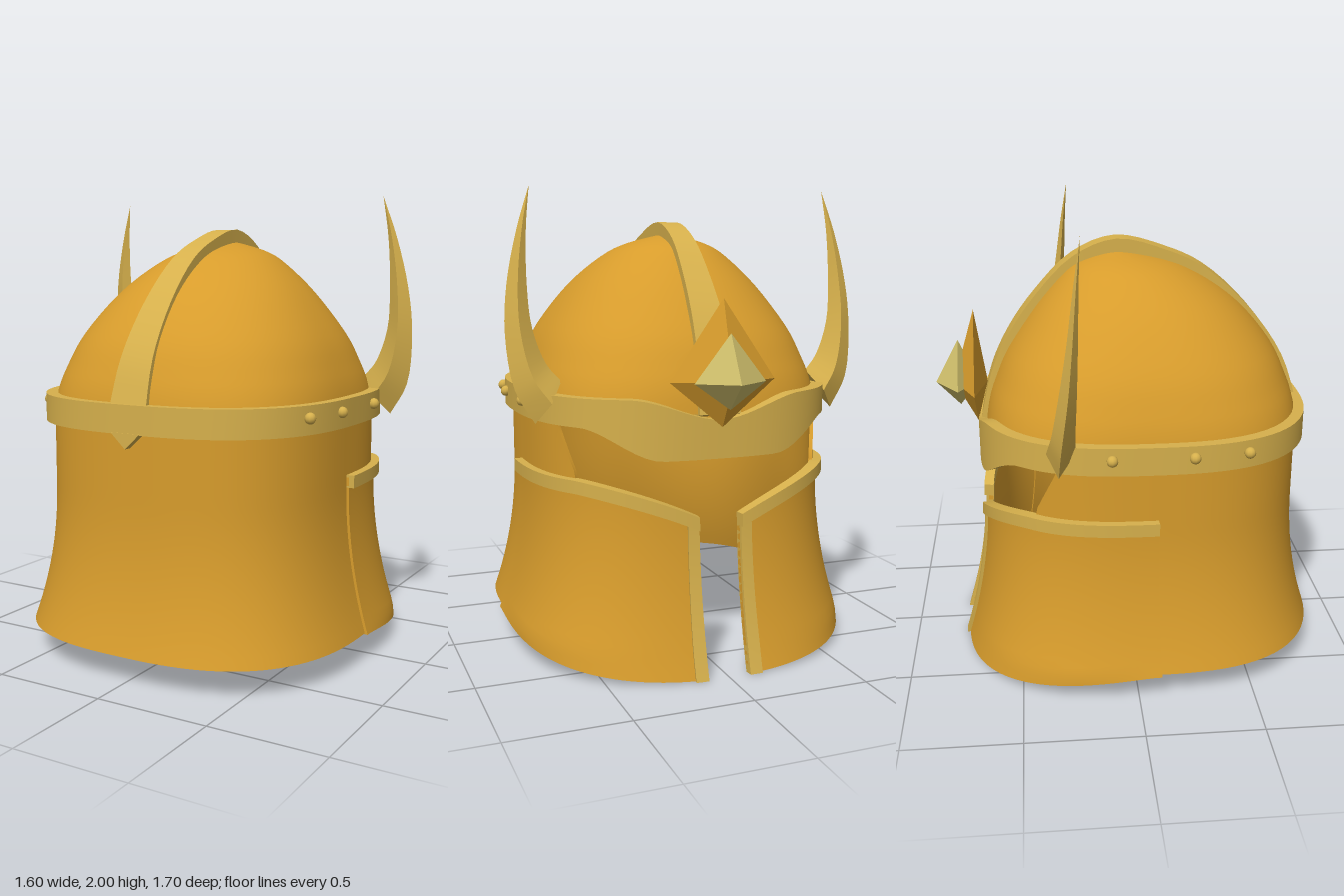
import * as THREE from 'three';
import { toCreasedNormals } from 'three/addons/utils/BufferGeometryUtils.js';

const V = (x, y, z) => new THREE.Vector3(x, y, z);
const { lerp, smoothstep, clamp } = THREE.MathUtils;

function material(name, color) {
  const m = new THREE.MeshStandardMaterial({ color, side: THREE.DoubleSide });
  m.name = name;
  return m;
}

// Joins closed rings of points into a capped solid
function loft(rings, crease = 0.6) {
  const pos = [], n = rings[0].length;
  const quad = (a, b, c, d) => [a, b, c, a, c, d].forEach(p => pos.push(p.x, p.y, p.z));
  for (let i = 0; i < rings.length - 1; i++) {
    for (let j = 0; j < n; j++) {
      const k = (j + 1) % n;
      quad(rings[i][j], rings[i + 1][j], rings[i + 1][k], rings[i][k]);
    }
  }
  const first = rings[0], last = rings[rings.length - 1];
  for (let j = 0; j < n / 2 - 1; j++) {
    quad(first[j], first[j + 1], first[n - 2 - j], first[n - 1 - j]);
    quad(last[n - 1 - j], last[n - 2 - j], last[j + 1], last[j]);
  }
  const g = new THREE.BufferGeometry();
  g.setAttribute('position', new THREE.Float32BufferAttribute(pos, 3));
  return toCreasedNormals(g, crease);
}

// Curved plate of thickness t from a surface f(u, v, offset)
function plate(nu, nv, t, f) {
  const rings = [];
  for (let i = 0; i <= nu; i++) {
    const outer = [], inner = [];
    for (let j = 0; j <= nv; j++) {
      outer.push(f(i / nu, j / nv, 0));
      inner.unshift(f(i / nu, j / nv, -t));
    }
    rings.push([...outer, ...inner]);
  }
  return loft(rings);
}

// Rounded-square outline point; angle 0 is +z, PI/2 is +x
function outline(a, y, hx, zc, hz, n) {
  const s = Math.sin(a), c = Math.cos(a);
  const r = (Math.abs(s) ** n + Math.abs(c) ** n) ** (-1 / n);
  return V(hx * r * s, y, zc + hz * r * c);
}

// Flared wall of the helmet
const flare = y => Math.max(0, (0.75 - Math.max(y, 0.12)) / 0.62);
const wallWidth = y => 0.655 + 0.1 * flare(y) ** 2;
function wall(a, y, off) {
  const front = 0.757 + 0.093 * flare(y) ** 2.2;
  const back = -0.63 - 0.11 * (Math.max(0, 0.75 - y) / 0.73) ** 2;
  return outline(a, y, wallWidth(y) + off, (front + back) / 2, (front - back) / 2 + off, 2.7);
}

export function createModel() {
  const model = new THREE.Group();
  const gold = material('gold', 0xd79c2c);
  const trim = material('pale gold trim', 0xd6b04c);
  const pale = material('light gem', 0xcdbd6a);
  const add = (name, geo, mat, parent = model) => {
    const m = new THREE.Mesh(geo, mat);
    m.name = name;
    parent.add(m);
    return m;
  };

  // Dome
  const profile = new THREE.SplineCurve([[0.655, 1.08], [0.64, 1.17], [0.612, 1.26], [0.55, 1.4],
    [0.42, 1.58], [0.28, 1.71], [0.17, 1.77], [0, 1.815]].map(p => new THREE.Vector2(...p)));
  add('dome', plate(72, 28, 0.02, (u, v, off) => {
    const p = profile.getPoint(v), k = clamp((p.y - 1.1) / 0.71, 0, 1);
    const w = Math.max(0, p.x + off);
    return outline(u * Math.PI * 2, p.y + off * k, w, 0.067 - 0.107 * k ** 5, w * 1.06, 2.7 - 0.7 * k);
  }), gold);

  // Crest strip running over the dome
  const crest = new THREE.CatmullRomCurve3([[0.785, 1.1], [0.705, 1.33], [0.55, 1.55], [0.35, 1.73], [0.18, 1.81],
    [-0.04, 1.862], [-0.23, 1.79], [-0.4, 1.62], [-0.52, 1.45], [-0.6, 1.28], [-0.65, 1.08]].map(p => V(0, p[1], p[0])));
  add('crestStrip', plate(40, 1, 0.07, (u, v, off) => {
    const p = crest.getPoint(u), t = crest.getTangent(u);
    const half = 0.09 - 0.043 * (p.y - 1.1) / 0.76;
    return V(lerp(half, -half, v), p.y - t.z * off, p.z + t.y * off);
  }), trim);

  // Neck guard wrapping the closed side
  add('neckGuard', plate(72, 20, 0.015, (u, v, off) => {
    const y = lerp(0.125, 1.08, v);
    const end = 2.27 - 0.15 * clamp((y - 0.82) / 0.21, 0, 1);
    return wall(lerp(-end, end, u), y, off);
  }), gold);

  // Brow band, dipping over the face opening
  add('browBand', plate(112, 2, 0.05, (u, v, off) => {
    const a = u * Math.PI * 2, d = Math.abs(Math.PI - a);
    const low = 1.03 - 0.13 * (1 - smoothstep(d, 0.35, 0.82));
    const high = 1.15 - 0.09 * (1 - smoothstep(d, 0, 0.55));
    const p = wall(a, 1.03, 0.035 + off);
    p.y = lerp(low, high, v);
    return p;
  }), trim);

  // Small point under the band
  const tip = new THREE.Shape([[-0.07, 1.035], [0, 0.97], [0.07, 1.035]].map(p => new THREE.Vector2(...p)));
  const tipGeo = new THREE.ExtrudeGeometry(tip, { depth: 0.042, bevelEnabled: false });
  add('bandPoint', tipGeo.translate(0, 0, 0.753), trim);

  // Cheek plate shape: top edge drops towards the slit, bottom edge sinks
  const A0 = 1.54, A1 = 3.005;
  const cheekTop = a => 0.81 - 0.15 * (Math.max(0, a - 2.27) / 0.735) ** 1.6;
  const cheekLow = a => 0.12 - 0.12 * Math.max(0, -Math.cos(a)) ** 1.2;
  const slit = y => Math.PI - 0.09 / wallWidth(y);
  const cheek = plate(44, 18, 0.02, (u, v, off) => {
    const a = lerp(A0, A1, u), y = lerp(cheekLow(a), cheekTop(a) - 0.01, v);
    return wall(lerp(A0, slit(y), u), y, off + 0.012);
  });
  const cheekRim = plate(44, 1, 0.045, (u, v, off) => {
    const a = lerp(A0, A1, u), y = cheekTop(a) - 0.055 * (1 - v);
    return wall(lerp(A0, slit(y), u), y, off + 0.036);
  });
  const slitRim = plate(2, 18, 0.035, (u, v, off) => {
    const y = lerp(cheekLow(A1), cheekTop(A1), v), end = slit(y);
    return wall(lerp(end - 0.07, end, u), y, off + 0.025);
  });

  // Horn with a four-sided section
  const outer = new THREE.CatmullRomCurve3([V(0.69, 1.03, -0.325), V(0.77, 1.17, -0.315), V(0.8, 1.4, -0.285),
    V(0.785, 1.6, -0.265), V(0.735, 1.82, -0.245), V(0.675, 2, -0.225)]);
  const inner = new THREE.CatmullRomCurve3([V(0.57, 1.2, -0.3), V(0.63, 1.27, -0.29), V(0.685, 1.42, -0.28),
    V(0.7, 1.6, -0.262), V(0.695, 1.82, -0.244), V(0.675, 2, -0.225)]);
  const hornRings = [];
  for (let i = 0; i <= 20; i++) {
    const t = i / 20, o = outer.getPoint(t), n = inner.getPoint(t);
    const half = 0.06 * (1 - t) ** 1.1, mid = o.clone().lerp(n, 0.5);
    hornRings.push([o, mid.clone().add(V(0, 0, half)), n, mid.clone().add(V(0, 0, -half))]);
  }
  const horn = loft(hornRings);
  const rivet = new THREE.SphereGeometry(0.024, 10, 8);

  // Mirrored parts
  for (const side of [1, -1]) {
    const half = new THREE.Group();
    half.name = side > 0 ? 'leftSide' : 'rightSide';
    half.scale.x = side;
    add('cheekPlate', cheek, gold, half);
    add('cheekTopRim', cheekRim, trim, half);
    add('slitRim', slitRim, trim, half);
    add('horn', horn, trim, half);
    for (const [x, z] of [[0.655, 0.455], [0.692, 0.225], [0.695, -0.11]]) {
      add('rivet', rivet, trim, half).position.set(x, 1.1, z);
    }
    model.add(half);
  }

  // Brow gems: flat-faced double pyramids
  const gem = (w, top, low, zBack, zMid, zTip) => {
    const apex = z => Array.from({ length: 4 }, () => V(0, 1.22, z));
    return loft([apex(zBack), [V(w, 1.22, zMid), V(0, top, zMid), V(-w, 1.22, zMid), V(0, low, zMid)], apex(zTip)], 0.1);
  };
  add('gemMount', gem(0.23, 1.55, 1.03, -0.62, -0.67, -0.77), gold);
  add('gem', gem(0.155, 1.415, 1.11, -0.66, -0.745, -0.85), pale);

  return model;
}
